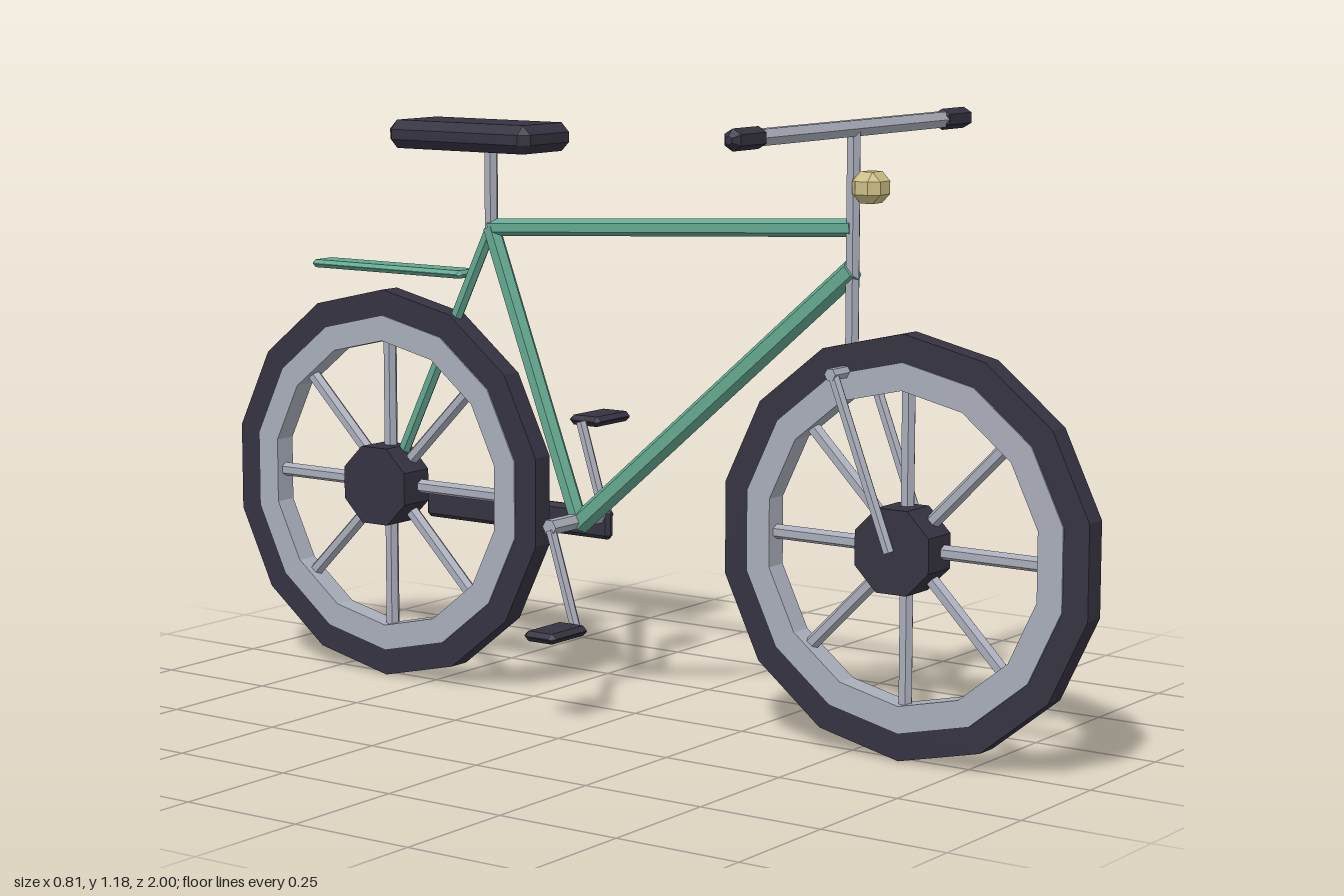
import * as THREE from 'three';
import { ConvexGeometry } from 'three/addons/geometries/ConvexGeometry.js';

const flat = (name, color) => {
  const m = new THREE.MeshStandardMaterial({ color, flatShading: true });
  m.name = name;
  return m;
};

export function createModel() {
  const steel = flat('steel', 0xa9adb9);
  const rubber = flat('darkRubber', 0x353341);
  const paint = flat('greenPaint', 0x64a890);
  const brass = flat('lampBrass', 0xcdbe85);

  const bike = new THREE.Group();
  bike.name = 'bicycle';

  const add = (name, geometry, material, pos = [0, 0, 0], parent = bike) => {
    const mesh = new THREE.Mesh(geometry, material);
    mesh.name = name;
    mesh.position.set(...pos);
    parent.add(mesh);
    return mesh;
  };

  // Straight six-sided tube between two points
  const tube = (name, from, to, r, material, parent = bike) => {
    const a = new THREE.Vector3(...from), b = new THREE.Vector3(...to);
    const d = b.clone().sub(a);
    const mesh = add(name, new THREE.CylinderGeometry(r, r, d.length(), 6), material,
      a.clone().add(b).multiplyScalar(0.5).toArray(), parent);
    mesh.quaternion.setFromUnitVectors(new THREE.Vector3(0, 1, 0), d.normalize());
    return mesh;
  };

  // Box with every edge cut at 45 degrees by c
  const chamferBox = (w, h, d, c) => {
    const pts = [];
    for (const x of [-1, 1]) for (const y of [-1, 1]) for (const z of [-1, 1]) {
      for (let axis = 0; axis < 3; axis++) {
        const inset = [c, c, c];
        inset[axis] = 0;
        pts.push(new THREE.Vector3(x * (w / 2 - inset[0]), y * (h / 2 - inset[1]), z * (d / 2 - inset[2])));
      }
    }
    return new ConvexGeometry(pts);
  };

  // Flat-sided ring around the x axis
  const ring = (outer, inner, x0, x1) => {
    const profile = [[outer, x0], [outer, x1], [inner, x1], [inner, x0], [outer, x0]];
    return new THREE.LatheGeometry(profile.map((p) => new THREE.Vector2(...p)), 14)
      .rotateY(Math.PI / 2).rotateZ(-Math.PI / 2);
  };

  // Wheels
  const axleY = 0.397, axleZ = 0.613;
  for (const [name, z] of [['frontWheel', axleZ], ['rearWheel', -axleZ]]) {
    const wheel = new THREE.Group();
    wheel.name = name;
    wheel.position.set(0, axleY, z);
    bike.add(wheel);
    add('tire', ring(0.397, 0.343, -0.023, 0.023), rubber, [0, 0, 0], wheel);
    add('rim', ring(0.345, 0.293, -0.026, 0.021), steel, [0, 0, 0], wheel);
    const hub = new THREE.CylinderGeometry(0.085, 0.085, 0.077, 8).rotateY(Math.PI / 8).rotateZ(Math.PI / 2);
    add('hub', hub, rubber, [-0.0165, 0, 0], wheel);
    for (let i = 0; i < 8; i++) {
      const a = (i * Math.PI) / 4, c = Math.cos(a), s = Math.sin(a);
      tube('spoke', [0, s * 0.06, c * 0.06], [0, s * 0.3, c * 0.3], 0.014, steel, wheel);
    }
  }

  // Frame
  const seatJoint = [0, 0.933, -0.35], bracket = [0, 0.362, -0.135];
  tube('topTube', [0, 0.978, 0.49], seatJoint, 0.017, paint);
  tube('downTube', [0, 0.9, 0.49], bracket, 0.022, paint);
  tube('seatTube', seatJoint, bracket, 0.018, paint);
  tube('seatStay', seatJoint, [0, axleY, -axleZ], 0.013, paint);
  add('rearRack', chamferBox(0.066, 0.016, 0.39, 0.0075), paint, [0, 0.837, -0.6]);

  // Saddle
  tube('seatPost', seatJoint, [0, 1.1, -0.35], 0.014, steel);
  add('saddle', chamferBox(0.16, 0.056, 0.35, 0.018), rubber, [0, 1.113, -0.38]);

  // Fork and steering
  tube('steeringTube', [0, 0.715, 0.49], [0, 1.16, 0.49], 0.014, steel);
  tube('forkCrown', [-0.075, 0.715, 0.49], [0.075, 0.715, 0.49], 0.012, steel);
  tube('handlebar', [-0.32, 1.16, 0.49], [0.32, 1.16, 0.49], 0.017, steel);
  const gripProfile = [[0, -0.053], [0.008, -0.053], [0.02, -0.04], [0.02, 0.04], [0.008, 0.053], [0, 0.053]];
  const grip = new THREE.LatheGeometry(gripProfile.map((p) => new THREE.Vector2(...p)), 6)
    .rotateY(Math.PI / 2).rotateZ(Math.PI / 2);
  for (const s of [-1, 1]) {
    const side = s > 0 ? 'left' : 'right';
    tube(side + 'ForkBlade', [s * 0.064, 0.715, 0.49], [s * 0.064, axleY, axleZ], 0.011, steel);
    add(side + 'Grip', grip, rubber, [s * 0.353, 1.16, 0.49]);

    // Crank arm and pedal, opposite on each side
    const y = 0.362 + s * 0.186, z = -0.138 - s * 0.058;
    tube(side + 'CrankArm', [s * 0.088, 0.362, -0.138], [s * 0.088, y, z], 0.011, steel);
    add(side + 'Pedal', chamferBox(0.118, 0.02, 0.074, 0.009), rubber, [s * 0.151, y, z]);
  }
  tube('crankAxle', [-0.095, 0.368, -0.138], [0.095, 0.368, -0.138], 0.016, steel);
  add('chainGuard', chamferBox(0.022, 0.062, 0.465, 0.008), rubber, [0.079, 0.351, -0.348]);

  // Headlamp
  add('headlamp', chamferBox(0.068, 0.058, 0.06, 0.017), brass, [0, 1.054, 0.528]);

  return bike;
}
